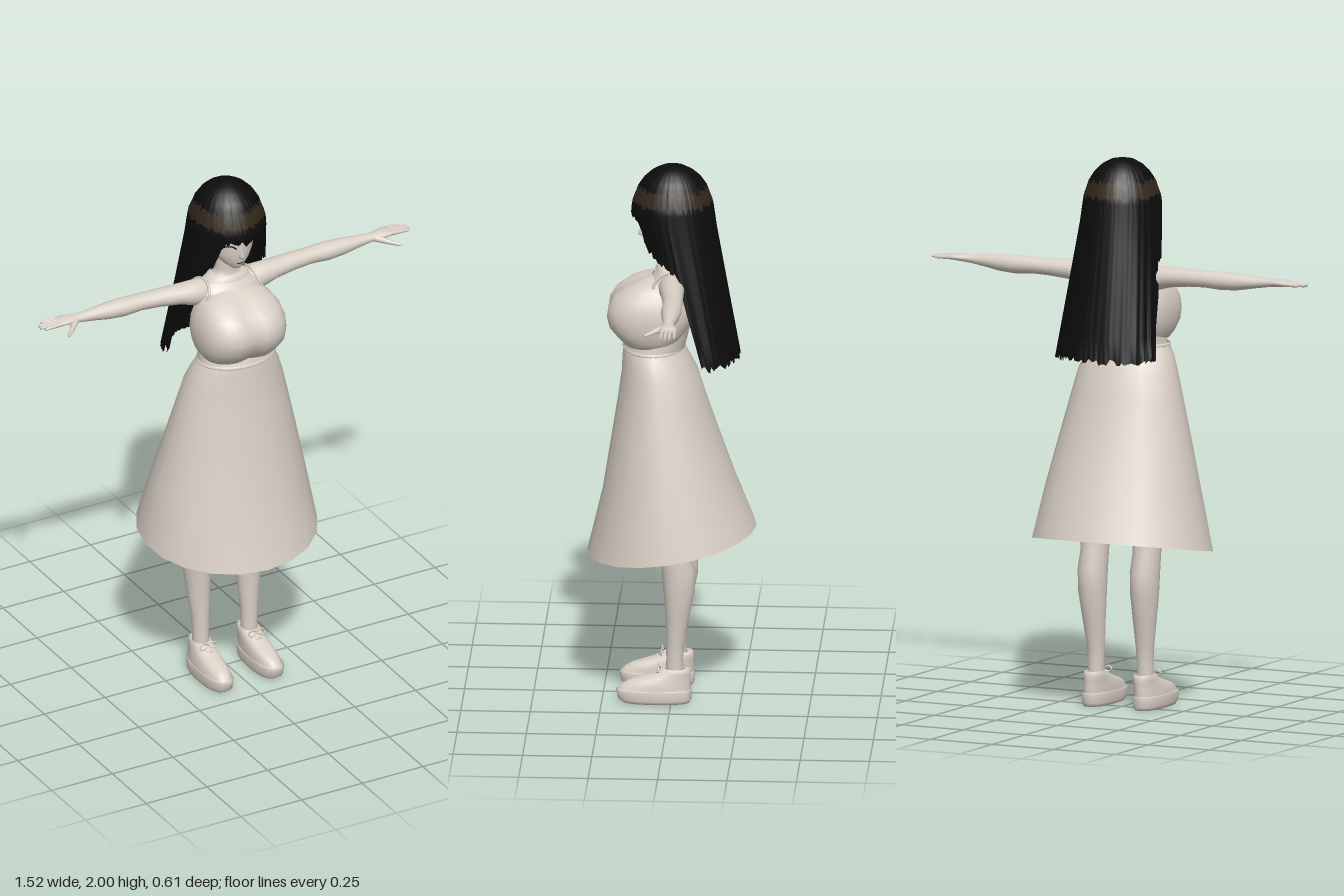
import * as THREE from 'three';

const mat = (name, color, side = THREE.DoubleSide) => {
  const m = new THREE.MeshStandardMaterial({ color, side });
  m.name = name;
  return m;
};

// Closed tube of rows; fn(row, angle, column) gives a point, rows run from bottom to top
function grid(rows, cols, fn) {
  const pos = [], index = [];
  for (let i = 0; i < rows; i++) {
    for (let j = 0; j < cols; j++) pos.push(...fn(i, (j / cols) * Math.PI * 2, j));
  }
  for (let i = 0; i < rows - 1; i++) {
    for (let j = 0; j < cols; j++) {
      const a = i * cols + j, b = i * cols + ((j + 1) % cols);
      index.push(a, b, a + cols, b, b + cols, a + cols);
    }
  }
  const g = new THREE.BufferGeometry();
  g.setAttribute('position', new THREE.Float32BufferAttribute(pos, 3));
  g.setIndex(index);
  g.computeVertexNormals();
  return g;
}

// Superellipse sections [y, rx, rz, cx, cz, tilt]; power 1 is an ellipse, lower is boxier
const power = (v, p) => Math.sign(v) * Math.abs(v) ** p;
function loft(rings, cols = 24, p = 1) {
  return grid(rings.length, cols, (i, a) => {
    const [y, rx, rz, cx = 0, cz = 0, tilt = 0] = rings[i];
    const z = cz + rz * power(Math.cos(a), p);
    return [cx + rx * power(Math.sin(a), p), y + tilt * z, z];
  });
}

// Tapered round segment between two points
function segment(a, b, r1, r2) {
  const A = new THREE.Vector3(...a), B = new THREE.Vector3(...b), d = B.clone().sub(A);
  const g = new THREE.CylinderGeometry(r2, r1, d.length(), 8);
  g.applyQuaternion(new THREE.Quaternion().setFromUnitVectors(new THREE.Vector3(0, 1, 0), d.normalize()));
  return g.translate(...A.add(B).multiplyScalar(0.5).toArray());
}

const tube = (pts, r, closed = false) => new THREE.TubeGeometry(
  new THREE.CatmullRomCurve3(pts.map(p => new THREE.Vector3(...p)), closed), 20, r, 6, closed);

function mirrored(geo) {
  const g = geo.clone().scale(-1, 1, 1), ix = g.index;
  for (let i = 0; i < ix.count; i += 3) {
    const t = ix.getX(i);
    ix.setX(i, ix.getX(i + 1));
    ix.setX(i + 1, t);
  }
  g.computeVertexNormals();
  return g;
}

export function createModel() {
  const model = new THREE.Group();
  model.name = 'womanInDress';
  const ivory = mat('ivory', 0xd9d0c6);
  const black = mat('blackHair', 0x0c0c0d);
  const brown = mat('brownSheen', 0x30261a);
  const add = (name, geo, material = ivory) => {
    const m = new THREE.Mesh(geo, material);
    m.name = name;
    model.add(m);
  };
  const pair = (name, geo, material) => {
    add(name + 'Left', geo, material);
    add(name + 'Right', mirrored(geo), material);
  };

  // Dress: flared skirt with a hem that dips at the front
  add('skirt', loft([
    [0.59, 0.335, 0.305, 0, 0.003, -0.164], [0.8, 0.292, 0.24, 0, 0.012, -0.1],
    [1.0, 0.245, 0.19, 0, 0.028, -0.04], [1.13, 0.213, 0.158, 0, 0.038],
    [1.22, 0.19, 0.138, 0, 0.046], [1.28, 0.168, 0.121, 0, 0.06], [1.32, 0.146, 0.108, 0, 0.068]
  ], 20));
  add('waistSeam', loft([
    [1.313, 0.149, 0.11, 0, 0.068], [1.318, 0.152, 0.113, 0, 0.068], [1.324, 0.146, 0.108, 0, 0.068]
  ], 28));

  // Torso, shoulders and neck
  add('torso', loft([
    [1.3, 0.145, 0.108, 0, 0.068], [1.36, 0.136, 0.105, 0, 0.05], [1.43, 0.133, 0.105, 0, 0.035],
    [1.5, 0.13, 0.1, 0, 0.025], [1.55, 0.13, 0.085, 0, 0.012], [1.59, 0.115, 0.066, 0, 0],
    [1.612, 0.085, 0.052, 0, -0.005], [1.625, 0.05, 0.043, 0, -0.005],
    [1.65, 0.041, 0.04, 0, 0], [1.74, 0.04, 0.04, 0, 0.005]
  ], 28));

  // Bodice front with a shallow centre crease
  const bodice = loft([
    [1.325, 0.1, 0.06, 0, 0.08], [1.34, 0.135, 0.095, 0, 0.08], [1.365, 0.152, 0.12, 0, 0.08],
    [1.4, 0.163, 0.145, 0, 0.085], [1.44, 0.167, 0.155, 0, 0.085], [1.48, 0.164, 0.15, 0, 0.085],
    [1.52, 0.152, 0.13, 0, 0.08], [1.55, 0.132, 0.1, 0, 0.07], [1.57, 0.105, 0.07, 0, 0.055],
    [1.585, 0.05, 0.035, 0, 0.04]
  ], 40, 0.78);
  const bp = bodice.attributes.position;
  for (let i = 0; i < bp.count; i++) {
    const z = bp.getZ(i), x = bp.getX(i);
    if (z > 0.1) bp.setZ(i, z - 0.016 * Math.exp(-((x / 0.035) ** 2)));
  }
  bodice.computeVertexNormals();
  add('bodice', bodice);
  add('collar', loft([[1.608, 0.088, 0.06, 0, 0], [1.622, 0.075, 0.056, 0, 0], [1.63, 0.055, 0.046, 0, 0]], 28));
  pair('armholeTrim', tube([
    [0.125, 1.53, 0.055], [0.105, 1.58, 0.062], [0.093, 1.617, 0.01], [0.105, 1.59, -0.055], [0.13, 1.53, -0.055]
  ], 0.005));

  // Arms run along x: sections [x, half height, half depth, -y, z]
  pair('arm', loft([
    [0.07, 0.04, 0.04, -1.57, -0.005], [0.11, 0.05, 0.048, -1.568, -0.003], [0.15, 0.045, 0.046, -1.572, -0.004],
    [0.2, 0.037, 0.042, -1.578, -0.008], [0.28, 0.032, 0.038, -1.582, -0.014], [0.35, 0.03, 0.035, -1.583, -0.018],
    [0.42, 0.034, 0.037, -1.582, -0.018], [0.48, 0.031, 0.033, -1.583, -0.018], [0.55, 0.022, 0.024, -1.586, -0.017],
    [0.6, 0.016, 0.02, -1.588, -0.016], [0.63, 0.014, 0.026, -1.59, -0.018], [0.66, 0.013, 0.032, -1.592, -0.02],
    [0.68, 0.01, 0.03, -1.592, -0.02], [0.69, 0.003, 0.022, -1.592, -0.02]
  ], 20).rotateZ(-Math.PI / 2));
  [[0.004, 0.748], [-0.012, 0.76], [-0.028, 0.757], [-0.045, 0.738]].forEach(([z, tip], i) => {
    pair('finger' + (i + 1), segment([0.67, 1.592, z * 0.85 - 0.003], [tip, 1.589, z], 0.009, 0.005));
  });
  pair('thumbBase', segment([0.615, 1.587, -0.008], [0.652, 1.58, 0.032], 0.014, 0.01));
  pair('thumbTip', segment([0.65, 1.58, 0.03], [0.685, 1.574, 0.066], 0.01, 0.005));

  // Legs
  pair('leg', loft([
    [0.08, 0.03, 0.032, 0.1, -0.012], [0.16, 0.03, 0.03, 0.1, -0.012], [0.22, 0.033, 0.033, 0.1, -0.014],
    [0.32, 0.043, 0.042, 0.103, -0.022], [0.42, 0.051, 0.056, 0.106, -0.028], [0.5, 0.053, 0.061, 0.106, -0.026],
    [0.57, 0.05, 0.057, 0.106, -0.01], [0.64, 0.054, 0.06, 0.106, -0.002], [0.8, 0.066, 0.074, 0.1, 0.008],
    [1.0, 0.08, 0.088, 0.095, 0.022], [1.12, 0.075, 0.085, 0.09, 0.035]
  ], 20));

  // Platform shoes with laces
  pair('sole', loft([
    [0, 0.002, 0.002, 0.104, 0.06], [0, 0.045, 0.12, 0.104, 0.055], [0.012, 0.05, 0.132, 0.104, 0.06],
    [0.045, 0.052, 0.137, 0.104, 0.063], [0.05, 0.046, 0.13, 0.104, 0.06]
  ], 24, 0.8));
  pair('shoeUpper', loft([
    [0.045, 0.048, 0.132, 0.104, 0.062], [0.065, 0.047, 0.125, 0.103, 0.054], [0.08, 0.044, 0.11, 0.102, 0.04],
    [0.095, 0.041, 0.086, 0.101, 0.016], [0.11, 0.038, 0.063, 0.1, -0.007], [0.128, 0.036, 0.048, 0.1, -0.018],
    [0.125, 0.029, 0.035, 0.1, -0.014]
  ], 24, 0.9));
  for (const [i, y, z] of [[1, 0.125, 0.035], [2, 0.11, 0.062], [3, 0.097, 0.085]]) {
    pair('lace' + i, tube([[0.07, y - 0.022, z - 0.01], [0.1, y, z], [0.132, y - 0.022, z - 0.01]], 0.004));
  }
  for (const s of [-1, 1]) {
    const loop = [[0.1, 0.125, 0.04], [0.1 + s * 0.022, 0.137, 0.045], [0.1 + s * 0.034, 0.122, 0.045], [0.1 + s * 0.018, 0.116, 0.05]];
    pair('laceBow' + (s > 0 ? 'Outer' : 'Inner'), tube(loop, 0.003, true));
  }

  // Head and face
  add('head', loft([
    [1.674, 0.004, 0.004, 0, 0.072], [1.679, 0.018, 0.02, 0, 0.068], [1.695, 0.04, 0.043, 0, 0.054],
    [1.72, 0.063, 0.068, 0, 0.038], [1.75, 0.08, 0.086, 0, 0.024], [1.79, 0.092, 0.103, 0, 0.01],
    [1.85, 0.1, 0.115, 0, 0], [1.91, 0.085, 0.1, 0, 0], [1.955, 0.045, 0.055, 0, 0], [1.965, 0.003, 0.003, 0, 0]
  ], 28));
  add('nose', loft([
    [1.727, 0.002, 0.002, 0, 0.104], [1.733, 0.009, 0.014, 0, 0.109], [1.74, 0.007, 0.016, 0, 0.11],
    [1.755, 0.005, 0.008, 0, 0.108], [1.785, 0.003, 0.003, 0, 0.109]
  ], 10));
  add('mouth', tube([[-0.012, 1.706, 0.099], [0, 1.705, 0.103], [0.012, 1.706, 0.099]], 0.0015), black);
  pair('eyelash', tube([
    [0.02, 1.772, 0.109], [0.034, 1.783, 0.106], [0.052, 1.785, 0.096], [0.068, 1.775, 0.08]
  ], 0.0028), black);

  // Hair: every column falls from the crown to its own ragged end
  let seed = 7;
  const random = () => (seed = (seed * 16807) % 2147483647) / 2147483647;
  const cols = 120, lower = 8;
  const mix = THREE.MathUtils.lerp, step = THREE.MathUtils.clamp;
  const endHeight = a => {
    const d = Math.min(a, Math.PI * 2 - a) * 180 / Math.PI;
    if (d < 42) return mix(1.805, 1.7, step((d - 33) / 9, 0, 1));
    return d < 84 ? mix(1.7, 1.62, (d - 42) / 42) : mix(1.62, 1.285, step((d - 84) / 8, 0, 1));
  };
  const hairShell = scale => {
    const strands = Array.from({ length: cols }, (_, j) => ({
      cut: random() * 0.025, ridge: (j % 2 ? 1 : -1) * 0.008 + (random() - 0.5) * 0.015, band: (random() - 0.5) * 0.022
    }));
    const crown = [1.865, 1.92, 1.95, 1.975, 1.992, 2.0];
    const g = grid(lower + crown.length, cols, (i, a, j) => {
      const s = strands[j];
      let y = i < lower ? mix(endHeight(a) + s.cut - 0.01, 1.845, i / (lower - 1)) : crown[i - lower];
      if (i === lower || i === lower + 1) y += s.band;
      const t = Math.max(0, (1.82 - y) / 0.54);
      const dome = Math.sqrt(Math.max(0, 1 - (Math.max(0, y - 1.82) / 0.18) ** 2));
      const r = dome * scale * (1 + s.ridge * (1 + t * 2));
      return [mix(0.14, 0.195, t) * r * Math.sin(a), 1.82 + (y - 1.82) * (y > 1.82 ? scale : 1),
        mix(0, -0.11, t) + mix(0.148, 0.132, t) * r * Math.cos(a)];
    });
    const row = cols * 6;
    g.addGroup(0, lower * row, 0);
    g.addGroup(lower * row, row, 1);
    g.addGroup((lower + 1) * row, (crown.length - 2) * row, 0);
    return g;
  };
  add('hairOuter', hairShell(1), [black, brown]);
  add('hairInner', hairShell(0.9), [black, black]);
  return model;
}
